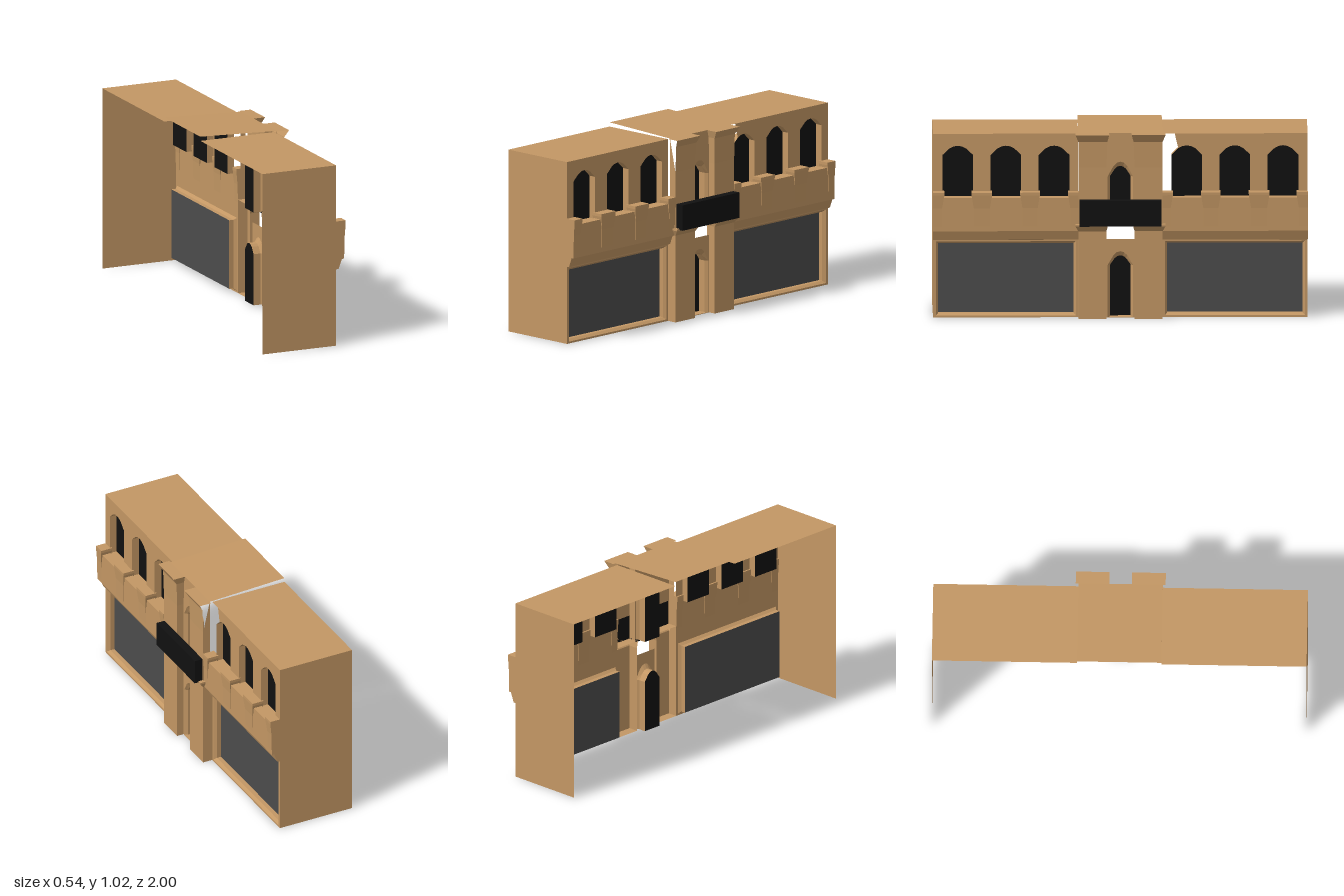
import * as THREE from 'three';

const mat = (color) => new THREE.MeshStandardMaterial({ color, side: THREE.DoubleSide, flatShading: true });

export function createModel() {
  const model = new THREE.Group();
  const stone = mat(0xc39764), black = mat(0x111111), grey = mat(0x4c4c4c);

  const add = (name, geometry, material = stone) => {
    const mesh = new THREE.Mesh(geometry, material);
    mesh.name = name;
    model.add(mesh);
    return mesh;
  };

  // Geometry from a list of quads, each four [x, y, z] corners
  const quads = (list) => {
    const g = new THREE.BufferGeometry();
    const p = list.flatMap(([a, b, c, d]) => [a, b, c, a, c, d]).flat();
    g.setAttribute('position', new THREE.Float32BufferAttribute(p, 3));
    g.computeVertexNormals();
    return g;
  };

  // Flat sheet in the plane of the facade, outlined by [z, y] points
  const sheet = (points, x, holes = []) => {
    const path = (pts) => pts.map(([z, y]) => new THREE.Vector2(z, y));
    const shape = new THREE.Shape(path(points));
    holes.forEach((h) => shape.holes.push(new THREE.Path(path(h))));
    return new THREE.ShapeGeometry(shape).rotateY(-Math.PI / 2).translate(x, 0, 0);
  };

  // Reveal joining one outline at depth xa to another at xb
  const ring = (a, xa, b, xb) => quads(a.map((p, i) => {
    const j = (i + 1) % a.length;
    return [[xa, p[1], p[0]], [xa, a[j][1], a[j][0]], [xb, b[j][1], b[j][0]], [xb, b[i][1], b[i][0]]];
  }));

  // Block lofted through levels [y, x0, x1, z0, z1]; skipped side numbers stay open
  const loft = (levels, skip = []) => {
    const rows = levels.map(([y, x0, x1, z0, z1]) => [[x0, y, z0], [x0, y, z1], [x1, y, z1], [x1, y, z0]]);
    const list = [rows[rows.length - 1]];
    if (!skip.includes('bottom')) list.push([...rows[0]].reverse());
    for (let r = 0; r + 1 < rows.length; r++) {
      for (let i = 0; i < 4; i++) {
        const j = (i + 1) % 4;
        if (!skip.includes(i)) list.push([rows[r][i], rows[r][j], rows[r + 1][j], rows[r + 1][i]]);
      }
    }
    return quads(list);
  };

  const rect = (z0, z1, y0, y1) => [[z0, y0], [z0, y1], [z1, y1], [z1, y0]];
  const arch = (c, w, y0, spring, top) => {
    const half = [[1, 0], [0.55, 0.7], [0.28, 0.93]].map(([k, t]) => [k * w, spring + t * (top - spring)]);
    return [[c - w, y0], ...half.map(([z, y]) => [c - z, y]), [c, top],
      ...half.reverse().map(([z, y]) => [c + z, y]), [c + w, y0]];
  };
  const box = (x0, x1, y0, y1, z0, z1) =>
    new THREE.BoxGeometry(x1 - x0, y1 - y0, z1 - z0).translate((x0 + x1) / 2, (y0 + y1) / 2, (z0 + z1) / 2);

  const back = -0.27, face = 0.165, inner = 0.225, eaves = 0.995;

  for (const s of [1, -1]) {
    const side = s > 0 ? 'North' : 'South';
    const flip = (pts) => pts.map(([z, y]) => [z * s, y]);
    const span = (a, b) => [Math.min(a * s, b * s), Math.max(a * s, b * s)];

    // End wall and roof of each wing
    add('endWall' + side, quads([[[back, 0, s], [face, 0, s], [face, eaves, s], [back, eaves, s]]]));
    add('wingRoof' + side, quads([[[back, eaves, s], [face, eaves, s], [face, eaves, s * inner], [back, eaves, s * inner]]]));

    // Ground floor wall with a large framed panel
    const outer = flip(rect(0.238, 0.985, 0.01, 0.412));
    const inset = flip(rect(0.25, 0.972, 0.022, 0.4));
    add('groundWall' + side, sheet(flip(rect(inner, 1, 0, 0.42)), face, [outer]));
    add('panelBevel' + side, ring(outer, face, inset, 0.15));
    add('panelReveal' + side, ring(inset, 0.15, inset, 0.125));
    add('shopPanel' + side, sheet(inset, 0.125), grey);

    // Upper wall with three arched windows; one wing has a broken inner edge
    const windows = [0.354, 0.611, 0.868].map((c) => arch(c, 0.082, 0.65, 0.88, 0.93));
    const whole = rect(inner, 1, 0.64, eaves);
    const broken = [[0.29, eaves], ...windows[0].slice(2), [0.436, 0.64], [1, 0.64], [1, eaves]];
    const holes = s > 0 ? windows : windows.slice(1);
    add('upperWall' + side, sheet(flip(s > 0 ? whole : broken), face, holes.map(flip)));
    windows.map(flip).forEach((w) => {
      add('windowReveal' + side, ring(w, face, w, 0.125));
      add('windowPane' + side, sheet(w, 0.125), black);
    });

    // Projecting band between the floors
    const profile = new THREE.Shape([[face, 0.42], [0.18, 0.423], [0.2, 0.475], [0.213, 0.475], [0.213, 0.655], [face, 0.655]]
      .map(([x, y]) => new THREE.Vector2(x, y)));
    add('floorBand' + side, new THREE.ExtrudeGeometry(profile, { depth: 1 - inner, bevelEnabled: false })
      .translate(0, 0, s > 0 ? inner : -1));

    // Flared merlons on the band
    for (const [a, b] of [[0.225, 0.28], [0.43, 0.535], [0.685, 0.795], [0.94, 1]]) {
      const end = b === 1 ? 0 : 0.012, start = a === 0.225 ? 0 : 0.012;
      const [z0, z1] = span(a + start, b - end), [t0, t1] = span(a, b);
      add('merlon' + side, loft([
        [0.5, face, 0.214, z0, z1], [0.6, 0.162, 0.216, z0, z1],
        [0.67, 0.156, 0.222, t0, t1], [0.685, 0.156, 0.222, t0, t1]]));
    }

    // Pilaster below the balcony with its flared capital
    const z = span(0.075, inner);
    add('lowerPilaster' + side, loft([
      [0, face, 0.22, ...z], [0.475, face, 0.22, ...z],
      [0.505, face, 0.245, ...span(0.068, 0.24)], [0.515, face, 0.245, ...span(0.068, 0.24)]], [0]));

    // Upper pilaster, with a partial outer cheek and a flared top
    const open = s > 0 ? 1 : 3;
    add('upperPilaster' + side, loft([
      [0.51, 0.18, 0.22, ...z], [0.82, 0.18, 0.22, ...z], [0.96, 0.18, 0.225, ...span(0.07, inner)],
      [1, 0.18, 0.247, ...span(0.06, 0.24)]], [0, open, 'bottom']));
    const zo = s * inner;
    add('pilasterCheek' + side, quads([[[0.18, 0.51, zo], [0.22, 0.51, zo], [0.22, 0.82, zo], [0.18, 1, zo]]]));
    add('wallReturn' + side, quads([[[face, 0.42, zo], [0.18, 0.42, zo], [0.18, 0.685, zo], [face, 0.685, zo]]]));
  }

  // Centre bay: two recessed arched doorways
  const doorway = (name, y0, y1, sill, spring, top) => {
    const frame = arch(0, 0.068, sill, spring, top + 0.025);
    const door = arch(0, 0.055, sill, spring, top);
    add(name + 'Wall', sheet(rect(-0.075, 0.075, y0, y1), 0.18, [frame]));
    add(name + 'Frame', ring(frame, 0.18, door, face));
    add(name + 'Reveal', ring(door, face, door, 0.125));
    add(name + 'Leaf', sheet(door, 0.125), black);
  };
  doorway('groundDoor', 0, 0.425, 0.003, 0.285, 0.335);
  doorway('balconyDoor', 0.51, 1, 0.515, 0.765, 0.82);

  // Balcony
  add('balconyFront', box(0.22, 0.267, 0.508, 0.647, -0.218, 0.218), black);
  add('balconyFloor', box(0.17, 0.22, 0.508, 0.518, -0.075, 0.075), black);

  // Centre roof, rising slightly to the back
  add('centreRoof', quads([[[back, 1.018, -inner], [back, 1.018, inner], [0.18, 1, inner], [0.18, 1, -inner]]]));

  return model;
}
